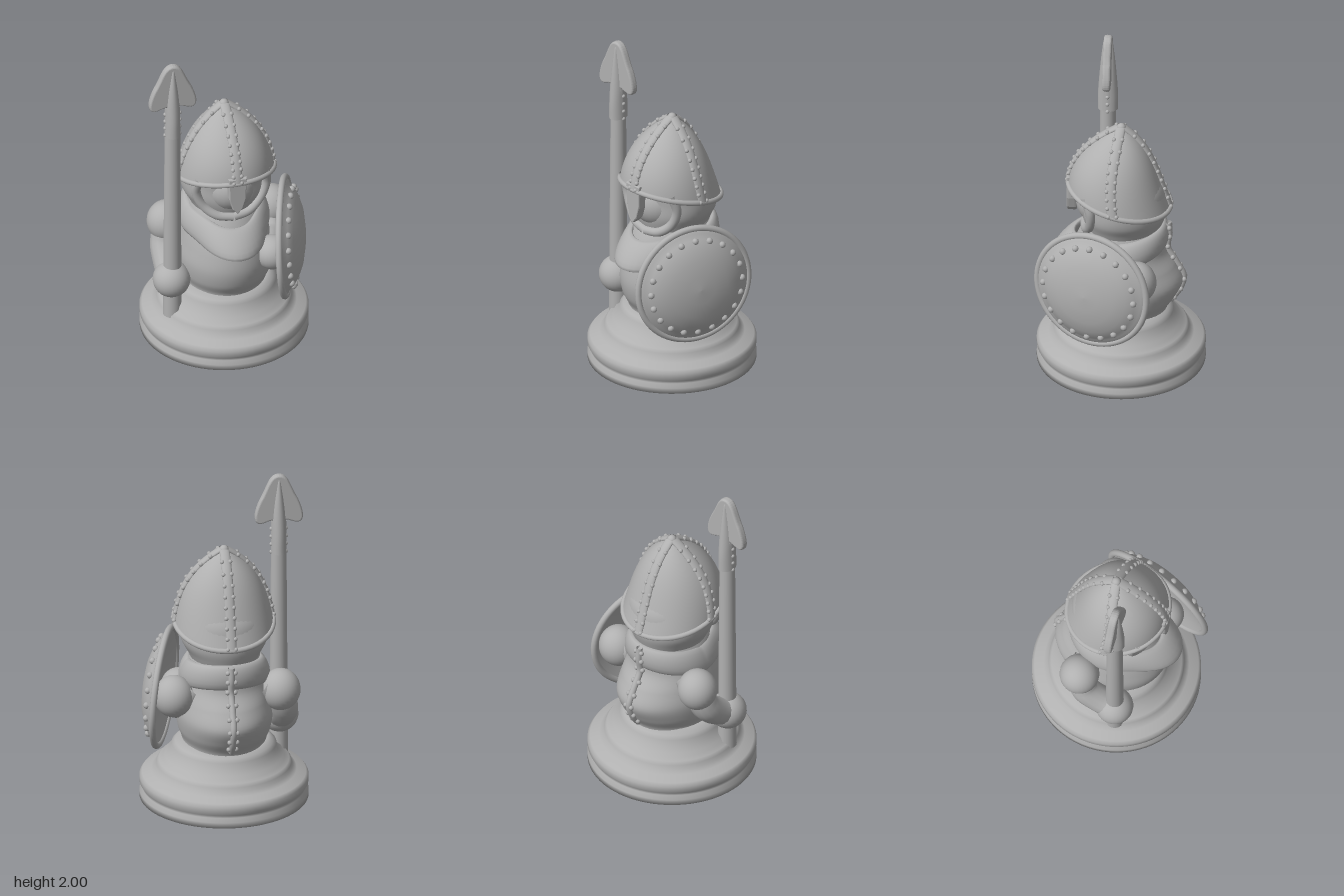
import * as THREE from 'three';
import { ParametricGeometry } from 'three/addons/geometries/ParametricGeometry.js';

const V = (x, y, z) => new THREE.Vector3(x, y, z);
const TAU = Math.PI * 2;

// Smooth body from rows of [y, half width, front depth, back depth]
function loft(rows, nu = 48, nv = 40) {
  const spline = f => new THREE.CatmullRomCurve3(rows.map(f), false, 'catmullrom', 0.5);
  const c1 = spline(r => V(r[0], r[1], 0));
  const c2 = spline(r => V(r[2], r[3], 0));
  return new ParametricGeometry((u, v, out) => {
    const p = c1.getPoint(v), q = c2.getPoint(v), a = u * TAU, c = Math.cos(a);
    out.set(p.y * Math.sin(a), p.x, (c > 0 ? q.x : q.y) * c);
  }, nu, nv);
}

// Helmet surface: a = angle from the front, t = rim (0) to apex (1)
function helmetPoint(a, t) {
  const rim = 1.125 + 0.08 * Math.cos(a);
  const y = rim + (1.6 - rim) * t, h = 1.6 - y;
  const r = 0.325 * (1 - Math.exp(-h / 0.2));
  return V(r * Math.sin(a), y, r * Math.cos(a) + 0.04 * Math.sin(Math.PI * h / 0.6));
}

export function createModel() {
  const model = new THREE.Group();
  const stone = new THREE.MeshStandardMaterial({ color: 0xb0b0b0, side: THREE.DoubleSide });
  stone.name = 'stone grey';

  const add = (name, geo, pos, parent = model) => {
    const m = new THREE.Mesh(geo, stone);
    m.name = name;
    if (pos) m.position.copy(pos);
    parent.add(m);
    return m;
  };
  const ball = (name, pos, r, sx = 1, sy = 1, sz = 1, parent = model) =>
    add(name, new THREE.SphereGeometry(r, 28, 20), pos, parent).scale.set(sx, sy, sz);
  const studGeo = new THREE.SphereGeometry(1, 10, 8);
  const stud = (pos, r, parent) => add('stud', studGeo, pos, parent).scale.setScalar(r);
  const tube = (name, pts, r, closed = false, parent = model) =>
    add(name, new THREE.TubeGeometry(new THREE.CatmullRomCurve3(pts, closed), 48, r, 14, closed), null, parent);

  // Stepped round base
  const base = [[0, 0], [0.5, 0], [0.5, 0.035], [0.485, 0.06], [0.485, 0.075], [0.5, 0.095], [0.5, 0.13],
    [0.485, 0.15], [0.43, 0.17], [0.405, 0.19], [0.4, 0.215], [0.385, 0.235], [0.36, 0.245], [0.35, 0.27],
    [0.315, 0.295], [0.31, 0.335], [0.29, 0.355], [0.26, 0.38], [0, 0.4]];
  add('base', new THREE.LatheGeometry(base.map(p => new THREE.Vector2(...p)), 72));

  // Rounded torso
  add('torso', loft([[0.32, 0.27, 0.27, 0.27], [0.38, 0.25, 0.27, 0.28], [0.46, 0.275, 0.31, 0.33],
    [0.56, 0.285, 0.33, 0.37], [0.66, 0.27, 0.32, 0.33], [0.76, 0.25, 0.29, 0.27],
    [0.88, 0.22, 0.24, 0.26], [0.96, 0.19, 0.19, 0.24]]));

  // Scarf collar with a pointed front
  add('collar', new ParametricGeometry((u, v, out) => {
    const a = u * TAU, f = Math.max(0, Math.cos(a)) ** 5, b = Math.max(0, -Math.cos(a));
    const s = v * TAU, up = Math.sin(s);
    const r = 0.23 + 0.11 * f * (1 - 0.35 * up) + 0.02 * b + 0.035 * Math.cos(s) - 0.02 * up * (1 - b);
    out.set(r * Math.sin(a), 0.82 - 0.03 * f + 0.045 * b + 0.08 * up, r * Math.cos(a));
  }, 64, 16));

  // Studded seam down the back
  const seam = [V(0, 0.4, -0.29), V(0, 0.48, -0.345), V(0, 0.57, -0.37), V(0, 0.67, -0.325),
    V(0, 0.77, -0.275), V(0, 0.86, -0.285), V(0, 0.94, -0.28)];
  tube('backSeam', seam, 0.02);
  const seamCurve = new THREE.CatmullRomCurve3(seam);
  for (let i = 0; i < 8; i++) for (const s of [-1, 1]) {
    stud(seamCurve.getPoint((i + 0.5) / 8).add(V(0.022 * s, 0, -0.005)), 0.015);
  }

  // Hooded head, face and the edge of the hood
  add('head', loft([[0.88, 0.19, 0.19, 0.22], [0.95, 0.22, 0.22, 0.25], [1.02, 0.255, 0.235, 0.27],
    [1.1, 0.265, 0.235, 0.27], [1.2, 0.255, 0.24, 0.25], [1.3, 0.2, 0.22, 0.18], [1.4, 0.05, 0.05, 0.05]]));
  ball('face', V(0, 1.08, 0.1), 0.17, 0.95, 0.95, 1);
  for (const s of [-1, 1]) {
    tube('hoodEdge', [V(0.2 * s, 1.21, 0.2), V(0.215 * s, 1.1, 0.165), V(0.18 * s, 1.0, 0.17),
      V(0.1 * s, 0.93, 0.2), V(0, 0.91, 0.215)], 0.028);
  }

  // Pointed helmet with rim
  const helmet = new THREE.Group();
  helmet.name = 'helmet';
  model.add(helmet);
  add('helmetShell', new ParametricGeometry((u, v, out) =>
    out.copy(helmetPoint(u * TAU, v * 0.998)), 64, 32), null, helmet);
  tube('helmetRim', Array.from({ length: 32 }, (_, i) => helmetPoint(i / 32 * TAU, 0.02)), 0.016, true, helmet);

  // Four riveted bands meeting at the apex
  for (let k = 0; k < 4; k++) {
    const a = k * Math.PI / 2;
    const out3 = V(Math.sin(a) * 0.8, 0.6, Math.cos(a) * 0.8), side = V(Math.cos(a), 0, -Math.sin(a));
    const onBand = (t, w, lift) => helmetPoint(a, t).addScaledVector(side, w).addScaledVector(out3, lift);
    add('helmetBand', new ParametricGeometry((u, v, out) => {
      const s = u * TAU;
      out.copy(onBand(v * 0.98, 0.03 * Math.cos(s), 0.016 * Math.sin(s)));
    }, 16, 28), null, helmet);
    for (let i = 0; i < 9; i++) for (const s of [-1, 1]) {
      stud(onBand(0.03 + i * 0.107, 0.024 * s, 0.008), 0.013, helmet);
    }
  }
  ball('helmetTip', V(0, 1.585, 0), 0.028, 1, 1, 1, helmet);

  // Nose guard
  const guard = new THREE.Shape([[-0.05, 0.24], [0.05, 0.24], [0.045, 0.1], [0.025, 0.03], [0, 0],
    [-0.025, 0.03], [-0.045, 0.1]].map(p => new THREE.Vector2(...p)));
  add('noseGuard', new THREE.ExtrudeGeometry(guard, {
    depth: 0.035, bevelEnabled: true, bevelSize: 0.006, bevelThickness: 0.012, bevelSegments: 2,
  }), V(0, 1.005, 0.275), helmet);

  // Right arm reaching down to the spear
  ball('rightShoulder', V(-0.32, 0.71, -0.12), 0.118, 1, 1.08, 1);
  tube('rightSleeve', [V(-0.22, 0.74, -0.1), V(-0.31, 0.68, -0.11), V(-0.345, 0.58, -0.08),
    V(-0.35, 0.5, 0.01), V(-0.35, 0.45, 0.11)], 0.085);
  ball('rightHand', V(-0.35, 0.45, 0.11), 0.112);

  // Left arm held behind the shield
  ball('leftShoulder', V(0.32, 0.71, -0.12), 0.118, 1, 1.08, 1);
  tube('leftSleeve', [V(0.2, 0.74, -0.1), V(0.29, 0.67, -0.1), V(0.29, 0.6, 0),
    V(0.26, 0.6, 0.1), V(0.24, 0.61, 0.2)], 0.08);
  ball('leftHand', V(0.235, 0.62, 0.23), 0.105);

  // Spear shaft and leaf-shaped head
  const spear = new THREE.Group();
  spear.name = 'spear';
  spear.position.set(-0.345, 0, 0.11);
  model.add(spear);
  add('spearShaft', new THREE.CylinderGeometry(0.045, 0.056, 1.5, 24), V(0, 0.95, 0), spear);
  add('spearSocket', loft([[1.5, 0.047, 0.06, 0.06], [1.6, 0.045, 0.06, 0.06], [1.7, 0.043, 0.054, 0.054],
    [1.8, 0.035, 0.046, 0.046], [1.9, 0.022, 0.036, 0.036], [1.97, 0.012, 0.025, 0.025], [1.995, 0.002, 0.002, 0.002]], 20, 24), null, spear);
  const blade = new THREE.Shape();
  blade.moveTo(0, 1.988);
  blade.bezierCurveTo(0.05, 1.988, 0.06, 1.91, 0.1, 1.84);
  blade.bezierCurveTo(0.12, 1.8, 0.155, 1.7, 0.11, 1.702);
  blade.bezierCurveTo(0.08, 1.705, 0.07, 1.72, 0.035, 1.72);
  blade.lineTo(-0.035, 1.72);
  blade.bezierCurveTo(-0.07, 1.72, -0.08, 1.705, -0.11, 1.702);
  blade.bezierCurveTo(-0.155, 1.7, -0.12, 1.8, -0.1, 1.84);
  blade.bezierCurveTo(-0.06, 1.91, -0.05, 1.988, 0, 1.988);
  add('spearBlade', new THREE.ExtrudeGeometry(blade, {
    depth: 0.016, bevelEnabled: true, bevelSize: 0.012, bevelThickness: 0.016, bevelSegments: 4,
  }), V(0, 0, -0.008), spear);
  for (let i = 0; i < 4; i++) for (const s of [-1, 1]) stud(V(0.044 * s, 1.5 + i * 0.05, 0), 0.012, spear);

  // Domed round shield with rim and studs, built facing +z then turned outward
  const shield = new THREE.Group();
  shield.name = 'shield';
  shield.position.set(0.335, 0.655, 0.145);
  shield.lookAt(V(0.335 + 0.94, 0.655 + 0.06, 0.145 + 0.34));
  model.add(shield);
  const dome = [[0.36, -0.012], [0.36, 0.01], [0.325, 0.018], [0.3, 0.045], [0.25, 0.075], [0.18, 0.1],
    [0.09, 0.115], [0, 0.12]];
  add('shieldFace', new THREE.LatheGeometry(dome.map(p => new THREE.Vector2(...p)), 64), null, shield).rotation.x = Math.PI / 2;
  const inner = [[0, 0.05], [0.15, 0.04], [0.28, 0.01], [0.36, -0.012]];
  add('shieldBack', new THREE.LatheGeometry(inner.map(p => new THREE.Vector2(...p)), 64), null, shield).rotation.x = Math.PI / 2;
  add('shieldRim', new THREE.TorusGeometry(0.354, 0.02, 12, 72), null, shield);
  for (let i = 0; i < 20; i++) {
    const a = i / 20 * TAU;
    stud(V(0.293 * Math.cos(a), 0.293 * Math.sin(a), 0.05), 0.02, shield);
  }

  return model;
}
